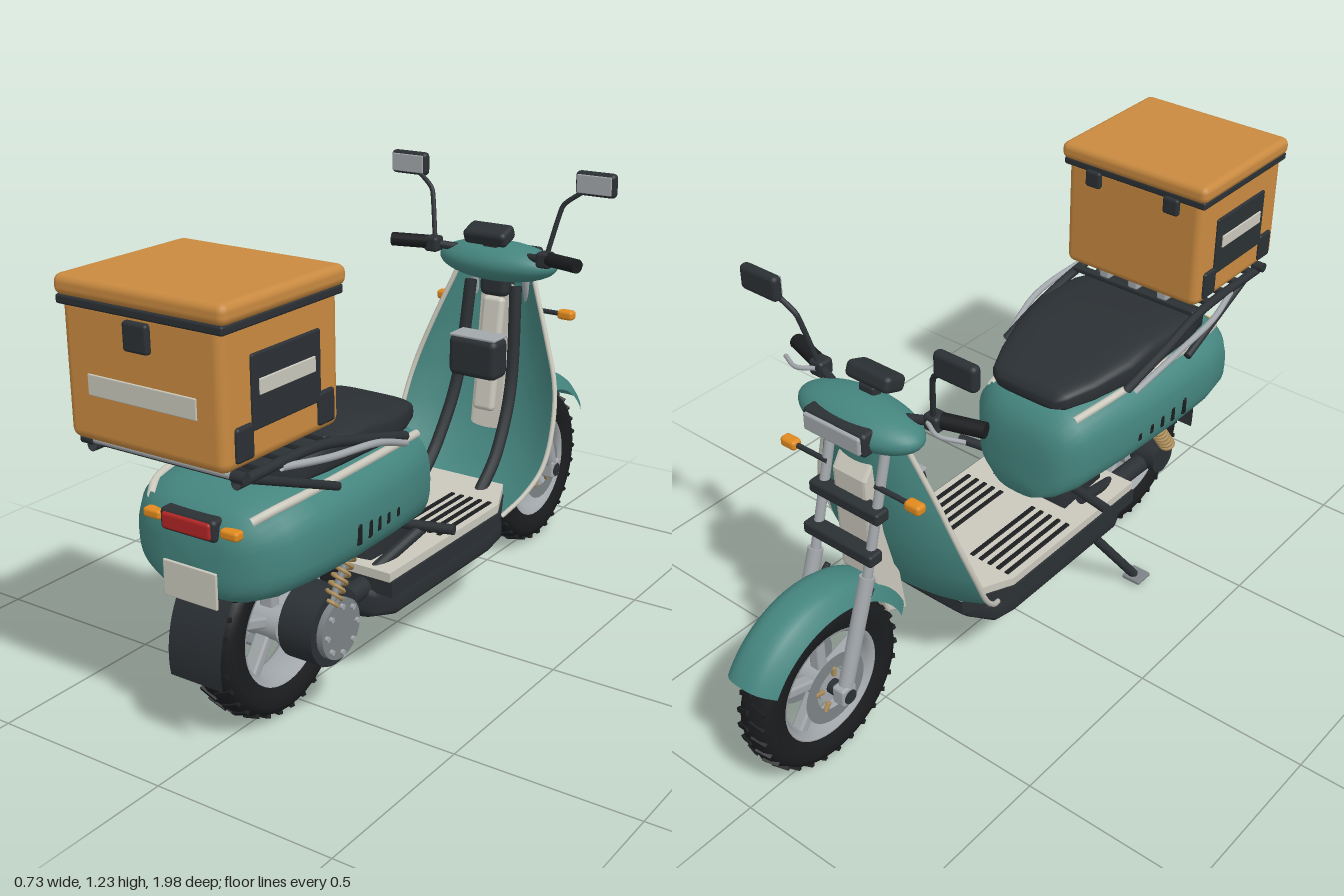
import * as THREE from 'three';
import { RoundedBoxGeometry } from 'three/addons/geometries/RoundedBoxGeometry.js';

const mat = (color) => new THREE.MeshStandardMaterial({ color, side: THREE.DoubleSide });
const teal = mat(0x45857f), orange = mat(0xc98a40), dark = mat(0x2b3034), black = mat(0x1a1c1e), cream = mat(0xcac8bc),
  grey = mat(0xa2a7ab), steel = mat(0x7c8286), red = mat(0xb02525), amber = mat(0xe08a1e), brass = mat(0xa98a55);
const V = (x, y, z) => new THREE.Vector3(x, y, z);
const SIDES = [-1, 1];

export function createModel() {
  const root = new THREE.Group();
  const add = (name, geo, material, x = 0, y = 0, z = 0, parent = root) => {
    const m = new THREE.Mesh(geo, material);
    m.name = name;
    m.position.set(x, y, z);
    parent.add(m);
    return m;
  };
  const box = (name, m, w, h, d, x, y, z, r = 0.008, parent = root) =>
    add(name, new RoundedBoxGeometry(w, h, d, 2, Math.min(r, w / 2.1, h / 2.1, d / 2.1)), m, x, y, z, parent);
  const cylX = (name, m, r, len, x, y, z, parent = root) =>
    add(name, new THREE.CylinderGeometry(r, r, len, 32).rotateZ(Math.PI / 2), m, x, y, z, parent);
  const tube = (name, m, r, pts, tension = 0.5) => {
    const curve = new THREE.CatmullRomCurve3(pts.map((p) => V(...p)), false, 'catmullrom', tension);
    return add(name, new THREE.TubeGeometry(curve, pts.length * 6, r, 10), m);
  };
  const rod = (name, m, r, a, b) => {
    const p = V(...a), q = V(...b), d = q.clone().sub(p);
    const o = add(name, new THREE.CylinderGeometry(r, r, d.length(), 16), m);
    o.position.copy(p).add(q).multiplyScalar(0.5);
    o.quaternion.setFromUnitVectors(V(0, 1, 0), d.normalize());
    return o;
  };
  // Smooth sheet from a rule f(i, j) -> Vector3
  const sheet = (f, nu, nv) => {
    const pos = [], idx = [];
    for (let i = 0; i <= nu; i++) for (let j = 0; j <= nv; j++) pos.push(...f(i, j).toArray());
    for (let i = 0; i < nu; i++) for (let j = 0; j < nv; j++) {
      const a = i * (nv + 1) + j, b = a + nv + 1;
      idx.push(a, b, a + 1, b, b + 1, a + 1);
    }
    const g = new THREE.BufferGeometry();
    g.setAttribute('position', new THREE.Float32BufferAttribute(pos, 3));
    g.setIndex(idx);
    g.computeVertexNormals();
    return g;
  };
  // Superellipse cross-section; row = [z, halfWidth, top, bottom]
  const ring = ([z, w, t, b], a, e) => {
    const p = (v) => Math.sign(v) * Math.abs(v) ** e;
    return V(w * p(Math.cos(a)), (t + b) / 2 + ((t - b) / 2) * p(Math.sin(a)), z);
  };
  const loft = (rows, e) => sheet((i, j) => ring(rows[i], -Math.PI / 2 + (j / 40) * Math.PI * 2, e), rows.length - 1, 40);

  // Wheels
  const wheel = (name, z, half) => {
    const g = new THREE.Group();
    g.name = name;
    g.position.set(0, 0.247, z);
    root.add(g);
    const lathe = (pts) => new THREE.LatheGeometry(pts.map(([r, x]) => new THREE.Vector2(r, x * half)), 56).rotateZ(Math.PI / 2);
    add('tire', lathe([[0.16, -0.8], [0.185, -0.97], [0.21, -1], [0.228, -0.85], [0.238, -0.5], [0.242, 0], [0.238, 0.5], [0.228, 0.85], [0.21, 1], [0.185, 0.97], [0.16, 0.8]]), black, 0, 0, 0, g);
    add('rim', lathe([[0.168, -0.8], [0.168, 0.8], [0.155, 0.8], [0.142, 0.5], [0.142, -0.5], [0.155, -0.8], [0.168, -0.8]]), grey, 0, 0, 0, g);
    cylX('hub', grey, 0.045, half * 1.7, 0, 0, 0, g);
    cylX('axle', dark, 0.02, 0.22, 0, 0, 0, g);
    for (let i = 0; i < 5; i++) {
      const a = (i / 5) * Math.PI * 2;
      const s = box('spoke', grey, half * 0.7, 0.12, 0.03, 0, Math.cos(a) * 0.095, Math.sin(a) * 0.095, 0.008, g);
      s.rotation.x = a;
    }
    for (let i = 0; i < 60; i++) {
      const a = (i / 60) * Math.PI * 2, s = i % 2 ? 1 : -1;
      const t = add('treadBlock', new THREE.BoxGeometry(half * 0.85, 0.012, 0.012), black, s * half * 0.45, Math.cos(a) * 0.237, Math.sin(a) * 0.237, g);
      t.rotation.set(a, s * 0.35, s * -0.2);
    }
    return g;
  };
  const front = wheel('frontWheel', -0.73, 0.052);
  for (const s of SIDES) {
    add('brakeDisc', new THREE.RingGeometry(0.062, 0.102, 40).rotateY(Math.PI / 2), steel, s * 0.056, 0, 0, front);
    for (let i = 0; i < 5; i++) {
      const a = (i / 5) * Math.PI * 2;
      box('discBolt', brass, 0.012, 0.03, 0.012, s * 0.054, Math.cos(a) * 0.055, Math.sin(a) * 0.055, 0.004, front).rotation.x = a;
    }
  }
  wheel('rearWheel', 0.57, 0.062);

  // Front fender: an arched strip, curved across its width
  add('frontFender', sheet((i, j) => {
    const a = 0.55 + (i / 32) * 2.2, v = j / 10 * 2 - 1, r = 0.297 - 0.04 * v ** 4 - 0.012 * v * v;
    return V(v * 0.08, 0.25 + Math.sin(Math.PI - a) * r, -0.73 + Math.cos(Math.PI - a) * r);
  }, 32, 10), teal);

  // Fork
  for (const s of SIDES) {
    rod('forkSlider', grey, 0.02, [s * 0.088, 0.25, -0.73], [s * 0.088, 0.56, -0.625]);
    rod('forkTube', grey, 0.013, [s * 0.088, 0.54, -0.63], [s * 0.088, 0.9, -0.535]);
    box('axleClamp', grey, 0.04, 0.055, 0.05, s * 0.088, 0.25, -0.73);
    rod('fenderStay', dark, 0.008, [s * 0.085, 0.42, -0.67], [s * 0.075, 0.5, -0.6]);
    rod('indicatorStem', dark, 0.007, [s * 0.08, 0.8, -0.57], [s * 0.19, 0.8, -0.57]);
    box('frontIndicator', amber, 0.05, 0.028, 0.032, s * 0.205, 0.8, -0.57, 0.01);
  }
  for (const [y, z] of [[0.73, -0.585], [0.62, -0.615]]) box('forkBridge', dark, 0.23, 0.035, 0.045, 0, y, z);

  // Leg shield: rows of [height, edge z, centre z, half width]
  const shield = [[0.9, -0.51, -0.565, 0.13], [0.75, -0.48, -0.55, 0.19], [0.62, -0.455, -0.53, 0.235], [0.5, -0.415, -0.5, 0.253],
    [0.4, -0.37, -0.45, 0.25], [0.33, -0.31, -0.385, 0.225], [0.28, -0.25, -0.31, 0.19]];
  add('legShield', sheet((i, j) => {
    const [y, ze, zc, w] = shield[i], v = j / 16 * 2 - 1;
    return V(v * w, y, zc + (ze - zc) * Math.abs(v) ** 2.2);
  }, 6, 16), teal);
  for (const s of SIDES) {
    tube('shieldTrim', cream, 0.007, shield.map(([y, ze, , w]) => [s * w, y, ze]));
    tube('innerFrameTube', dark, 0.018, [[s * 0.1, 0.32, -0.27], [s * 0.1, 0.42, -0.37], [s * 0.09, 0.6, -0.46], [s * 0.075, 0.88, -0.5]]);
  }
  const prof = new THREE.Shape([[-0.46, 0.33], [-0.52, 0.36], [-0.565, 0.5], [-0.575, 0.8], [-0.53, 0.87], [-0.5, 0.6]].map(([z, y]) => new THREE.Vector2(-z, y)));
  add('centreCover', new THREE.ExtrudeGeometry(prof, { depth: 0.09, bevelSize: 0.006, bevelThickness: 0.01, bevelSegments: 2 }).rotateY(Math.PI / 2), cream, -0.045);
  box('innerPanel', cream, 0.07, 0.34, 0.03, 0, 0.67, -0.485, 0.014).rotation.x = -0.15;
  box('gloveBox', dark, 0.16, 0.12, 0.08, 0, 0.68, -0.42, 0.02);
  box('gloveBoxLid', grey, 0.15, 0.008, 0.075, 0, 0.742, -0.42, 0.003);

  // Handlebar head
  const head = add('handlebarHead', new THREE.SphereGeometry(1, 40, 24), teal, 0, 0.943, -0.525);
  head.scale.set(0.19, 0.058, 0.09);
  box('headlight', dark, 0.2, 0.065, 0.05, 0, 0.945, -0.595, 0.012);
  box('headlightLens', grey, 0.18, 0.048, 0.02, 0, 0.945, -0.618, 0.006);
  box('steeringNeck', dark, 0.09, 0.09, 0.07, 0, 0.885, -0.525, 0.02);
  box('display', dark, 0.14, 0.045, 0.07, 0, 1.03, -0.47, 0.015).rotation.x = 0.35;
  box('displayBase', dark, 0.05, 0.05, 0.03, 0, 0.995, -0.49);
  for (const s of SIDES) {
    rod('handlebar', dark, 0.012, [s * 0.1, 0.97, -0.5], [s * 0.23, 0.985, -0.455]);
    rod('grip', black, 0.02, [s * 0.2, 0.984, -0.462], [s * 0.305, 0.985, -0.43]);
    box('switchBlock', dark, 0.045, 0.045, 0.045, s * 0.185, 0.98, -0.468, 0.01);
    tube('brakeLever', grey, 0.006, [[s * 0.18, 0.985, -0.49], [s * 0.23, 0.98, -0.51], [s * 0.29, 0.975, -0.485]]);
    tube('mirrorStem', dark, 0.007, [[s * 0.185, 0.99, -0.475], [s * 0.215, 1.13, -0.505], [s * 0.28, 1.18, -0.52]], 0.2);
    box('mirror', dark, 0.122, 0.068, 0.03, s * 0.305, 1.196, -0.527, 0.013);
    box('mirrorGlass', grey, 0.106, 0.052, 0.006, s * 0.305, 1.196, -0.511, 0.003);
  }

  // Floor with grip slots, and the belly under it
  const plan = (k) => new THREE.Shape([[-0.205, 0.34], [-0.205, -0.2], [-0.14, -0.34], [0.14, -0.34], [0.205, -0.2], [0.205, 0.34]]
    .map(([x, z]) => new THREE.Vector2(x * k, z)));
  const slab = (name, k, top, depth, m) => add(name, new THREE.ExtrudeGeometry(plan(k), { depth, bevelEnabled: false }).rotateX(Math.PI / 2), m, 0, top, 0);
  slab('floorBoard', 1, 0.336, 0.025, cream);
  slab('floorFrame', 1.03, 0.312, 0.042, dark);
  for (const s of SIDES) for (let i = 0; i < 5; i++) box('gripSlot', black, 0.013, 0.006, 0.27, s * (0.058 + i * 0.03), 0.337, -0.065, 0.002);
  add('belly', loft([[-0.31, 0, 0.26, 0.24], [-0.31, 0.15, 0.285, 0.23], [-0.25, 0.19, 0.29, 0.19], [-0.18, 0.195, 0.29, 0.178], [0.28, 0.195, 0.29, 0.178],
    [0.35, 0.17, 0.285, 0.195], [0.36, 0, 0.26, 0.22]], 0.5), dark);
  add('underSeatHousing', loft([[0.12, 0, 0.4, 0.3], [0.12, 0.13, 0.46, 0.28], [0.3, 0.12, 0.46, 0.26], [0.32, 0, 0.4, 0.3]], 0.5), dark);

  // Rear body shell
  const body = [[0.065, 0, 0.48, 0.42], [0.065, 0.1, 0.57, 0.365], [0.085, 0.15, 0.63, 0.365], [0.13, 0.19, 0.665, 0.375], [0.3, 0.225, 0.68, 0.39], [0.5, 0.245, 0.687, 0.4],
    [0.66, 0.25, 0.687, 0.41], [0.76, 0.23, 0.677, 0.41], [0.81, 0.195, 0.655, 0.415], [0.84, 0.14, 0.625, 0.43], [0.85, 0.08, 0.59, 0.46], [0.852, 0, 0.53, 0.52]];
  add('rearBody', loft(body, 0.7), teal);
  for (const s of SIDES) {
    tube('bodyTrim', cream, 0.011, body.slice(3, 9).map((r) => {
      const p = ring(r, 0.82, 0.7);
      return [s * p.x, p.y, p.z];
    }));
    [0.525, 0.475, 0.43, 0.385, 0.335].forEach((z, i) => box('vent', black, 0.03, 0.055 - i * 0.007, 0.018, s * (0.234 - i * 0.005), 0.522 - i * 0.003, z, 0.006));
    rod('footPeg', dark, 0.014, [s * 0.12, 0.39, 0.16], [s * 0.265, 0.395, 0.13]);
    rod('passengerPegArm', dark, 0.016, [s * 0.14, 0.32, 0.32], [s * 0.17, 0.38, 0.14]);
    box('rearIndicator', amber, 0.052, 0.024, 0.03, s * 0.115, 0.606, 0.838, 0.008);
  }
  box('tailLightHousing', dark, 0.165, 0.056, 0.05, 0, 0.607, 0.835, 0.012);
  box('tailLight', red, 0.145, 0.042, 0.02, 0, 0.607, 0.856, 0.008);

  // Rear mudguard and plate
  add('rearMudguard', sheet((i, j) => {
    const a = 0.62 - (i / 12) * 0.8;
    return V((j / 4 * 2 - 1) * 0.08, 0.25 + Math.sin(a) * 0.285, 0.57 + Math.cos(a) * 0.285);
  }, 12, 4), dark);
  box('plate', cream, 0.16, 0.092, 0.008, 0, 0.459, 0.855, 0.003);

  // Seat
  add('seat', loft([[0.1, 0, 0.685, 0.68], [0.1, 0.1, 0.7, 0.665], [0.12, 0.13, 0.722, 0.66], [0.2, 0.165, 0.738, 0.66], [0.32, 0.2, 0.762, 0.665], [0.42, 0.208, 0.784, 0.67],
    [0.58, 0.208, 0.775, 0.675], [0.68, 0.19, 0.755, 0.675], [0.72, 0, 0.71, 0.68]], 0.5), dark);

  // Carrier rack
  for (const s of SIDES) {
    tube('rackRail', dark, 0.013, [[s * 0.21, 0.778, 0.93], [s * 0.21, 0.776, 0.65], [s * 0.215, 0.735, 0.45], [s * 0.21, 0.69, 0.28]]);
    rod('rackBrace', dark, 0.011, [s * 0.205, 0.77, 0.87], [s * 0.215, 0.655, 0.57]);
    tube('grabRail', grey, 0.009, [[s * 0.225, 0.68, 0.3], [s * 0.25, 0.735, 0.46], [s * 0.245, 0.755, 0.64], [s * 0.215, 0.77, 0.78]]);
    cylX('rackEnd', dark, 0.014, 0.035, s * 0.218, 0.795, 0.925);
  }
  cylX('rackBar', grey, 0.009, 0.42, 0, 0.795, 0.925);
  for (let i = 0; i < 5; i++) box('rackSlat', dark, 0.42, 0.016, 0.025, 0, 0.782, 0.6 + i * 0.075, 0.005);
  for (const x of [-0.1, 0, 0.1]) box('boxMount', grey, 0.035, 0.03, 0.34, x, 0.802, 0.76);

  // Delivery box
  box('boxBody', orange, 0.452, 0.33, 0.41, 0, 0.977, 0.775, 0.025);
  box('boxGasket', dark, 0.47, 0.022, 0.42, 0, 1.132, 0.775, 0.006);
  box('boxLid', orange, 0.484, 0.05, 0.432, 0, 1.164, 0.772, 0.02);
  box('latch', dark, 0.07, 0.068, 0.025, 0, 1.082, 0.982);
  box('rearReflector', cream, 0.31, 0.05, 0.008, 0, 0.95, 0.979, 0.003);
  for (const s of SIDES) {
    box('sidePanel', dark, 0.014, 0.17, 0.24, s * 0.226, 0.975, 0.77, 0.005);
    box('sideReflector', cream, 0.006, 0.036, 0.195, s * 0.234, 0.985, 0.772, 0.002);
    for (const z of [0.63, 0.918]) box('cornerGuard', dark, 0.022, 0.08, 0.058, s * 0.224, 0.872, z);
    box('hinge', dark, 0.05, 0.05, 0.02, s * 0.13, 1.105, 0.565);
  }

  // Drive unit, swing arms and shocks
  cylX('motorHousing', dark, 0.1, 0.1, 0.13, 0.265, 0.54);
  cylX('motorCover', steel, 0.078, 0.02, 0.188, 0.265, 0.54);
  for (let i = 0; i < 8; i++) {
    const a = (i / 8) * Math.PI * 2;
    cylX('coverBolt', grey, 0.007, 0.012, 0.2, 0.265 + Math.cos(a) * 0.062, 0.54 + Math.sin(a) * 0.062);
  }
  cylX('leftHub', dark, 0.05, 0.08, -0.13, 0.29, 0.55);
  for (const s of SIDES) {
    rod('swingArm', dark, 0.028, [s * 0.12, 0.27, 0.56], [s * 0.12, 0.28, 0.28]);
    rod('shockRod', steel, 0.01, [s * 0.18, 0.33, 0.56], [s * 0.18, 0.46, 0.47]);
    const coil = [];
    for (let i = 0; i <= 48; i++) {
      const a = i / 48 * Math.PI * 12, t = i / 48;
      coil.push([s * 0.18 + Math.cos(a) * 0.02, 0.335 + t * 0.1 + Math.sin(a) * 0.011, 0.557 - t * 0.07 + Math.sin(a) * 0.016]);
    }
    tube('shockSpring', brass, 0.005, coil);
  }

  // Side stand
  rod('sideStand', dark, 0.014, [-0.16, 0.24, 0.18], [-0.24, 0.02, 0.325]);
  box('standFoot', steel, 0.06, 0.012, 0.06, -0.245, 0.015, 0.33, 0.004);
  return root;
}
